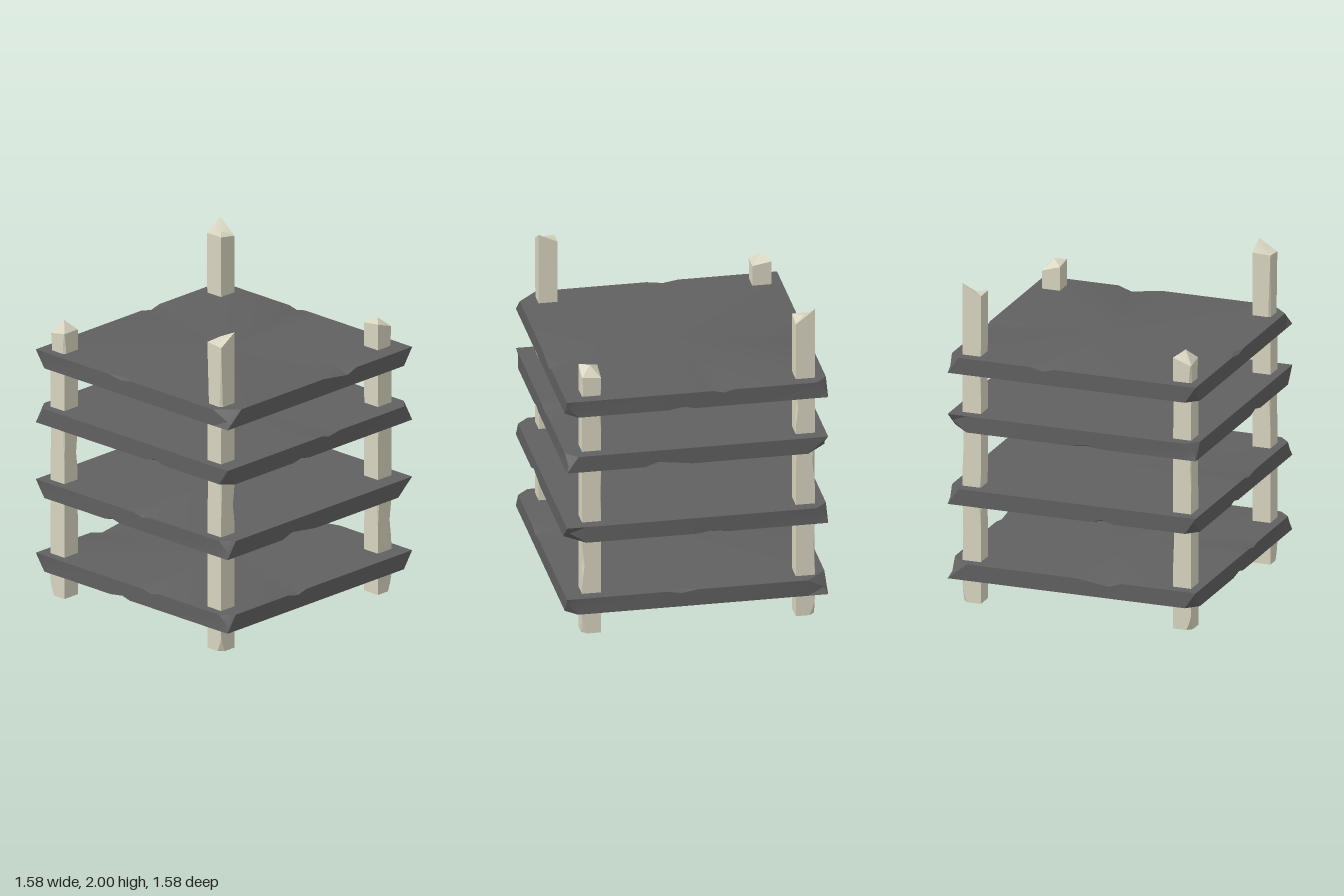
import * as THREE from 'three';
import { toCreasedNormals } from 'three/addons/utils/BufferGeometryUtils.js';

const HALF = 0.79;
const stone = new THREE.MeshStandardMaterial({ color: 0x606060 });
const wood = new THREE.MeshStandardMaterial({ color: 0xd8d4c0 });

// Closed skin over a stack of equal-length rings, ordered bottom to top.
function loft(rings, bottomCentre, topCentre) {
  const out = [];
  const tri = (a, b, c) => {
    const normal = b.clone().sub(a).cross(c.clone().sub(a));
    if (normal.length() > 1e-9) out.push(...a.toArray(), ...b.toArray(), ...c.toArray());
  };
  const n = rings[0].length, last = rings.length - 1;
  for (let i = 0; i < n; i++) {
    const j = (i + 1) % n;
    tri(bottomCentre, rings[0][j], rings[0][i]);
    for (let r = 0; r < last; r++) {
      const lo = rings[r], hi = rings[r + 1];
      tri(lo[i], lo[j], hi[j]);
      tri(lo[i], hi[j], hi[i]);
    }
    tri(topCentre, rings[last][i], rings[last][j]);
  }
  const geo = new THREE.BufferGeometry();
  geo.setAttribute('position', new THREE.Float32BufferAttribute(out, 3));
  return toCreasedNormals(geo, 0.45);
}

// Point on the slab's rim: 0-1 front, 1-2 left side (+x), 2-3 back, 3-4 right side.
function rimPoint(p) {
  const t = (p % 1) * 2 * HALF - HALF;
  return [[t, HALF], [HALF, -t], [-t, -HALF], [-HALF, t]][Math.floor(p)];
}
const wrap = p => +(((p % 4) + 4) % 4).toFixed(5);
const inward = v => (Math.abs(v) > HALF - 0.01 ? -Math.sign(v) : 0);

// Stone slab with chips broken from its top or bottom rim.
function slab(y0, y1, chips) {
  const stops = new Set([0, 1, 2, 3]);
  chips.forEach(c => [c.p - c.before, c.p, c.p + c.after].forEach(p => stops.add(wrap(p))));
  const rings = [[], [], [], []];
  for (const p of [...stops].sort((a, b) => a - b)) {
    const [x, z] = rimPoint(p);
    // Shift of the face edge and of the rim edge on the bottom and the top
    const face = [[0, 0], [0, 0]], rim = [[0, 0], [0, 0]], drop = [0, 0];
    for (const c of chips) {
      let d = p - c.p;
      d -= 4 * Math.round(d / 4);
      const f = 1 - Math.abs(d) / (d < 0 ? c.before : c.after);
      if (f < 1e-3) continue;
      const shift = rimPoint(wrap(c.p)).map(v => inward(v) * c.inset * f);
      const level = c.top ? 1 : 0;
      face[level] = shift;
      if (c.corner) rim[level] = shift.map(v => v * 0.35);
      drop[level] = c.drop * f;
    }
    const point = (s, y) => new THREE.Vector3(x + s[0], y, z + s[1]);
    rings[0].push(point(face[0], y0));
    rings[1].push(point(rim[0], y0 + drop[0]));
    rings[2].push(point(rim[1], y1 - drop[1]));
    rings[3].push(point(face[1], y1));
  }
  return loft(rings, new THREE.Vector3(0, y0, 0), new THREE.Vector3(0, y1, 0));
}

// One set of chips, turned, mirrored or flipped for each shelf.
function chipSet(turn, mirror, flip) {
  const chips = [
    { p: 0.65, before: 0.13, after: 0.05, inset: 0.1, drop: 0.028, top: true },
    { p: 1.6, before: 0.04, after: 0.04, inset: 0.04, drop: 0.015, top: true },
    { p: 1.45, before: 0.06, after: 0.04, inset: 0.04, drop: 0.015, top: false },
    { p: 2.38, before: 0.05, after: 0.05, inset: 0.05, drop: 0.02, top: true },
    { p: 3.44, before: 0.06, after: 0.06, inset: 0.03, drop: 0.015, top: true },
  ];
  for (let k = 0; k < 4; k++) {
    const size = k ? 0.07 : 0.12;
    const reach = size / (2 * HALF);
    chips.push({ p: k, before: reach, after: reach, inset: size / 2, drop: 0.06, top: k % 2 === 0, corner: true });
  }
  return chips.map(c => ({
    ...c,
    p: wrap(turn + (mirror ? 1 - c.p : c.p)),
    before: mirror ? c.after : c.before,
    after: mirror ? c.before : c.after,
    top: c.top !== flip,
  }));
}

// Timber post: corners run front -x, front +x, back +x, back -x.
function post(x, z, index, tops, centreY) {
  const levels = 33, w = 0.0575;
  const corners = [[-w, w], [w, w], [w, -w], [-w, -w]];
  // Worn nicks along each long edge, deepest at the outer foot
  const cutAt = (k, y) => {
    let cut = k === index ? 0.03 * (1 - y / 0.08) : 0;
    for (let i = 0; i < 3; i++) {
      const height = 0.45 + 0.46 * i + 0.1 * ((2 * k + index + i) % 3);
      const depth = 0.008 * ((k + i + index) % 3);
      cut = Math.max(cut, depth * (1 - Math.abs(y - height) / 0.13));
    }
    return Math.max(0, cut);
  };
  const rings = [];
  for (let r = 0; r <= levels; r++) {
    const ring = [];
    corners.forEach(([cx, cz], k) => {
      const y = r < levels ? r * 0.05 : tops[k];
      const keep = 1 - cutAt(k, y) / w;
      const a = new THREE.Vector3(x + cx, y, z + cz * keep);
      const b = new THREE.Vector3(x + cx * keep, y, z + cz);
      ring.push(...(k % 2 ? [b, a] : [a, b]));
    });
    rings.push(ring);
  }
  return loft(rings, new THREE.Vector3(x, 0, z), new THREE.Vector3(x, centreY, z));
}

export function createModel() {
  const group = new THREE.Group();
  const add = (geo, material, name) => {
    const mesh = new THREE.Mesh(geo, material);
    mesh.name = name;
    group.add(mesh);
  };

  // Shelves, bottom to top
  const shelves = [
    { y: 0.16, turn: 2, mirror: false, flip: false },
    { y: 0.627, turn: 0, mirror: true, flip: true },
    { y: 1.09, turn: 1, mirror: true, flip: true },
    { y: 1.45, turn: 0, mirror: false, flip: false },
  ];
  shelves.forEach(({ y, turn, mirror, flip }, i) =>
    add(slab(y, y + 0.102, chipSet(turn, mirror, flip)), stone, `shelf${i + 1}`));

  // Posts with broken tops: two tall and two short, on opposite corners
  const posts = [
    { name: 'frontRightPost', x: -0.678, z: 0.628, tops: [1.93, 2, 1.945, 1.94], centre: 1.95 },
    { name: 'frontLeftPost', x: 0.663, z: 0.628, tops: [1.715, 1.675, 1.665, 1.7], centre: 1.73 },
    { name: 'backLeftPost', x: 0.663, z: -0.665, tops: [1.93, 1.91, 2, 1.93], centre: 1.94 },
    { name: 'backRightPost', x: -0.678, z: -0.665, tops: [1.68, 1.68, 1.7, 1.66], centre: 1.74 },
  ];
  posts.forEach(({ name, x, z, tops, centre }, i) => add(post(x, z, i, tops, centre), wood, name));
  return group;
}
